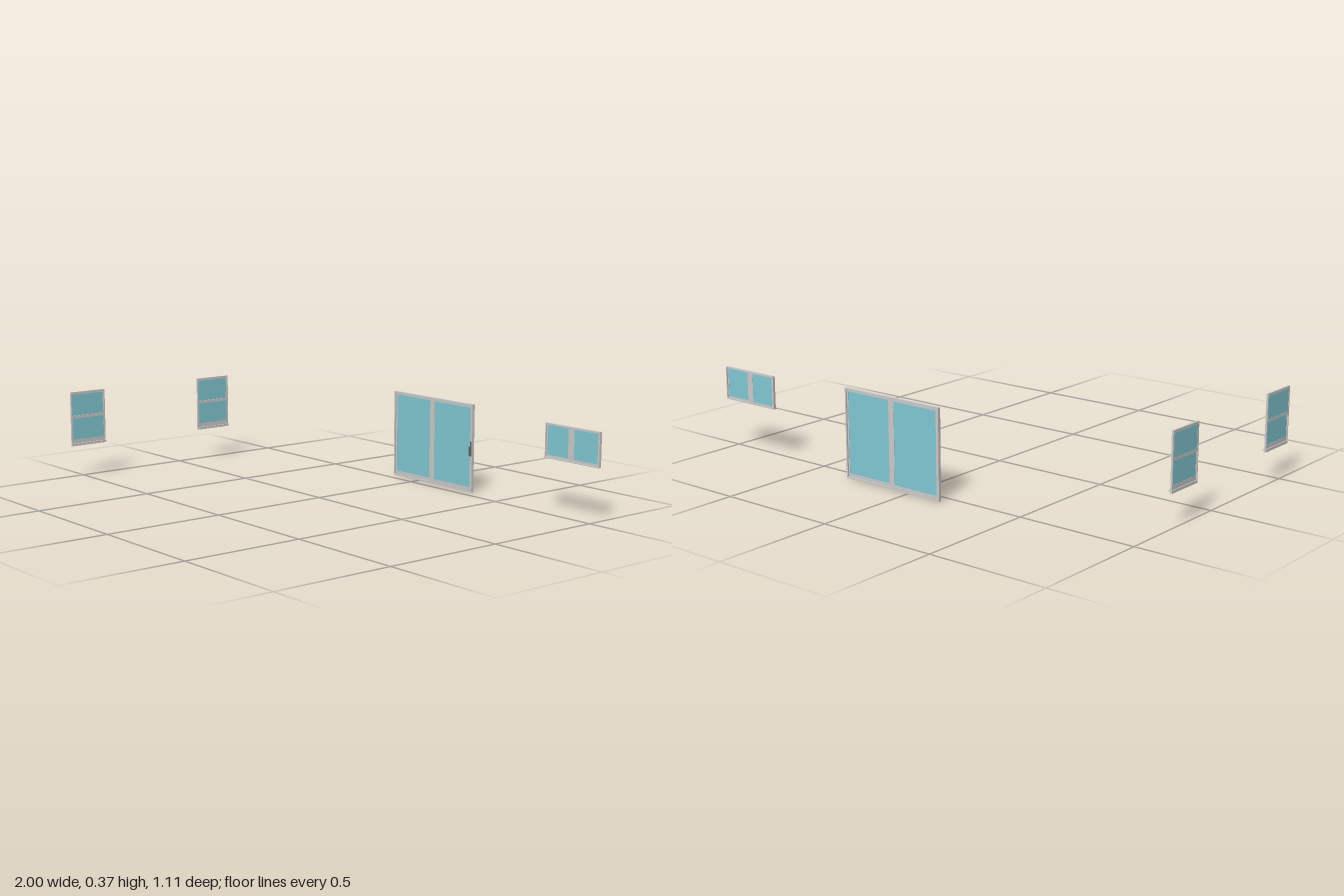
import * as THREE from 'three';

const frameMat = new THREE.MeshStandardMaterial({ color: 0xcccccc });
frameMat.name = 'frame grey';
const glassMat = new THREE.MeshStandardMaterial({ color: 0x82cad4 });
glassMat.name = 'glass teal';
const handleMat = new THREE.MeshStandardMaterial({ color: 0x666666 });
handleMat.name = 'handle grey';

// Box between two corners
function box(name, mat, [x0, y0, z0], [x1, y1, z1]) {
  const mesh = new THREE.Mesh(new THREE.BoxGeometry(x1 - x0, y1 - y0, z1 - z0), mat);
  mesh.position.set((x0 + x1) / 2, (y0 + y1) / 2, (z0 + z1) / 2);
  mesh.name = name;
  return mesh;
}

// Rectangular ring; outer and inner are [x0, y0, x1, y1]
function ring(name, outer, inner, z0, z1) {
  const pts = ([x0, y0, x1, y1]) => [[x0, y0], [x1, y0], [x1, y1], [x0, y1]].map((p) => new THREE.Vector2(...p));
  const shape = new THREE.Shape(pts(outer));
  shape.holes.push(new THREE.Path(pts(inner).reverse()));
  const geo = new THREE.ExtrudeGeometry(shape, { depth: z1 - z0, bevelEnabled: false });
  geo.translate(0, 0, z0);
  const mesh = new THREE.Mesh(geo, frameMat);
  mesh.name = name;
  return mesh;
}

// Sash: ring with a thin pane set in its middle
function sash(name, outer, pane, z0, z1) {
  const g = new THREE.Group();
  g.name = name;
  const mid = (z0 + z1) / 2;
  g.add(ring('sashFrame', outer, pane, z0, z1));
  g.add(box('pane', glassMat, [pane[0], pane[1], mid - 0.001], [pane[2], pane[3], mid + 0.001]));
  return g;
}

// Two-panel sliding door with pull handle
function slidingDoor() {
  const g = new THREE.Group();
  g.name = 'slidingDoor';
  g.add(ring('doorFrame', [-0.157, 0, 0.32, 0.365], [-0.151, 0.007, 0.314, 0.359], -0.555, -0.543));
  g.add(sash('fixedPanel', [-0.151, 0.007, 0.094, 0.359], [-0.144, 0.02, 0.067, 0.351], -0.554, -0.549));
  g.add(sash('slidingPanel', [0.067, 0.007, 0.314, 0.359], [0.094, 0.02, 0.308, 0.351], -0.549, -0.544));
  const handle = new THREE.Group();
  handle.name = 'doorHandle';
  handle.add(box('grip', handleMat, [0.309, 0.155, -0.537], [0.317, 0.19, -0.534]));
  for (const y of [0.155, 0.187]) handle.add(box('handleMount', handleMat, [0.309, y, -0.544], [0.317, y + 0.003, -0.537]));
  handle.add(box('handlePlate', handleMat, [0.308, 0.15, -0.544], [0.318, 0.212, -0.542]));
  g.add(handle);
  return g;
}

// Small horizontal slider
function sliderWindow() {
  const g = new THREE.Group();
  g.name = 'sliderWindow';
  g.add(ring('windowFrame', [0.722, 0.208, 1, 0.345], [0.726, 0.214, 0.996, 0.341], -0.554, -0.543));
  g.add(sash('fixedSash', [0.726, 0.214, 0.872, 0.341], [0.731, 0.22, 0.842, 0.337], -0.553, -0.5485));
  g.add(sash('slidingSash', [0.842, 0.214, 0.996, 0.341], [0.872, 0.22, 0.991, 0.337], -0.5485, -0.544));
  g.add(box('sill', frameMat, [0.722, 0.208, -0.543], [1, 0.212, -0.536]));
  return g;
}

// Double-hung window, built facing +z and turned to face +x
function hungWindow(z) {
  const g = new THREE.Group();
  g.name = 'hungWindow';
  const w = 0.0835;
  g.add(ring('windowFrame', [-w, 0.132, w, 0.365], [-w + 0.004, 0.143, w - 0.004, 0.361], 0, 0.008));
  g.add(sash('upperSash', [-w + 0.004, 0.251, w - 0.004, 0.361], [-0.076, 0.263, 0.076, 0.353], 0.0005, 0.004));
  g.add(sash('lowerSash', [-w + 0.004, 0.143, w - 0.004, 0.263], [-0.076, 0.16, 0.076, 0.251], 0.004, 0.0075));
  g.add(box('sill', frameMat, [-w, 0.138, 0.008], [w, 0.143, 0.014]));
  g.rotation.y = Math.PI / 2;
  g.position.set(-1, 0, z);
  return g;
}

export function createModel() {
  const model = new THREE.Group();
  model.name = 'windowsAndDoor';
  model.add(slidingDoor(), sliderWindow());
  for (const z of [0.4715, -0.184]) model.add(hungWindow(z));
  return model;
}
